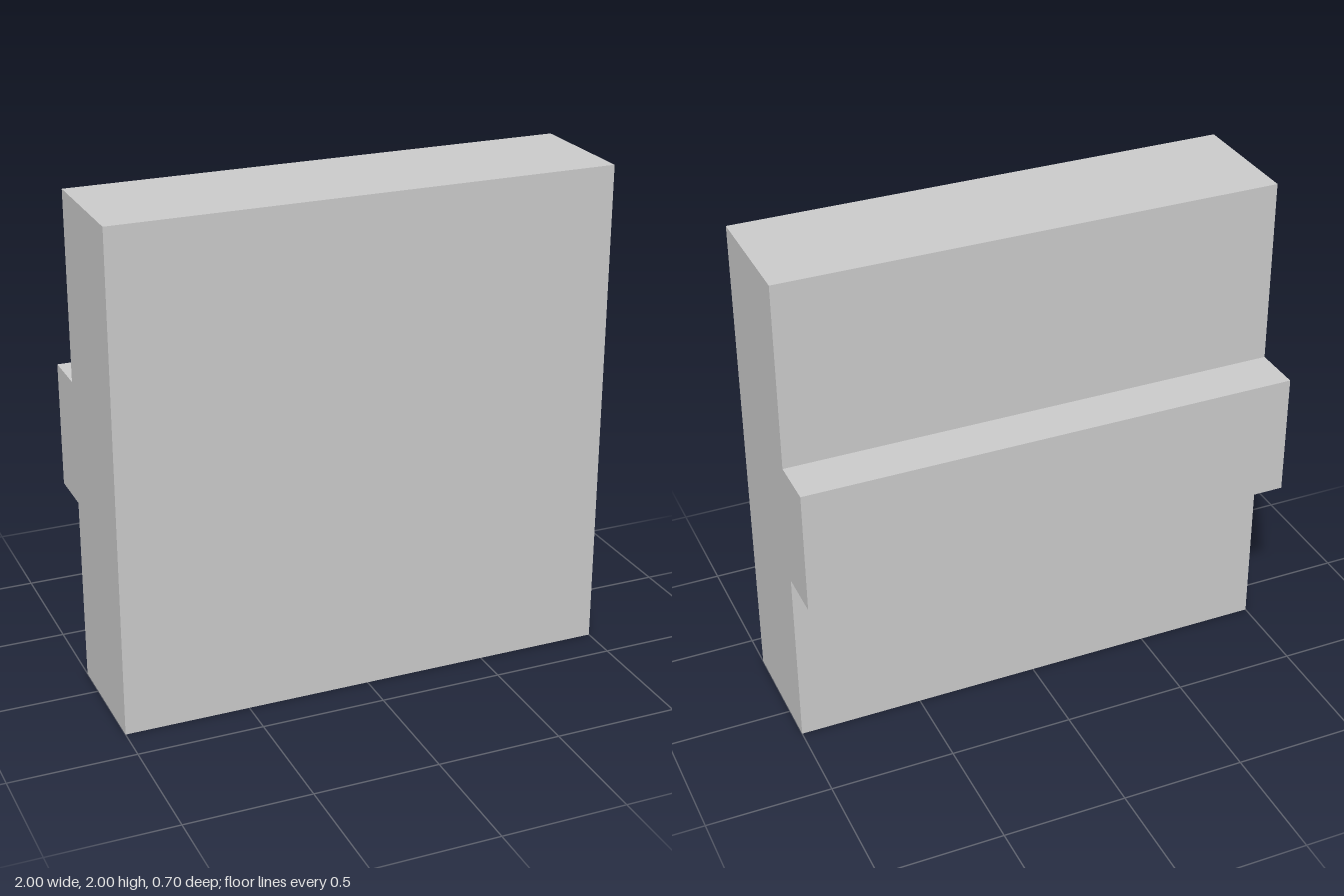
import * as THREE from 'three';

export function createModel() {
  const model = new THREE.Group();
  const material = new THREE.MeshStandardMaterial({ color: 0xcccccc, flatShading: true });

  const addBox = (name, [w, h, d], [x, y, z]) => {
    const mesh = new THREE.Mesh(new THREE.BoxGeometry(w, h, d), material);
    mesh.name = name;
    mesh.position.set(x, y, z);
    model.add(mesh);
  };

  // Thick square slab
  addBox('panel', [2, 2, 0.5], [0, 1, 0.1]);
  // Full-width rail across the middle of the back
  addBox('backRail', [2, 0.5, 0.2], [0, 1, -0.25]);

  return model;
}
